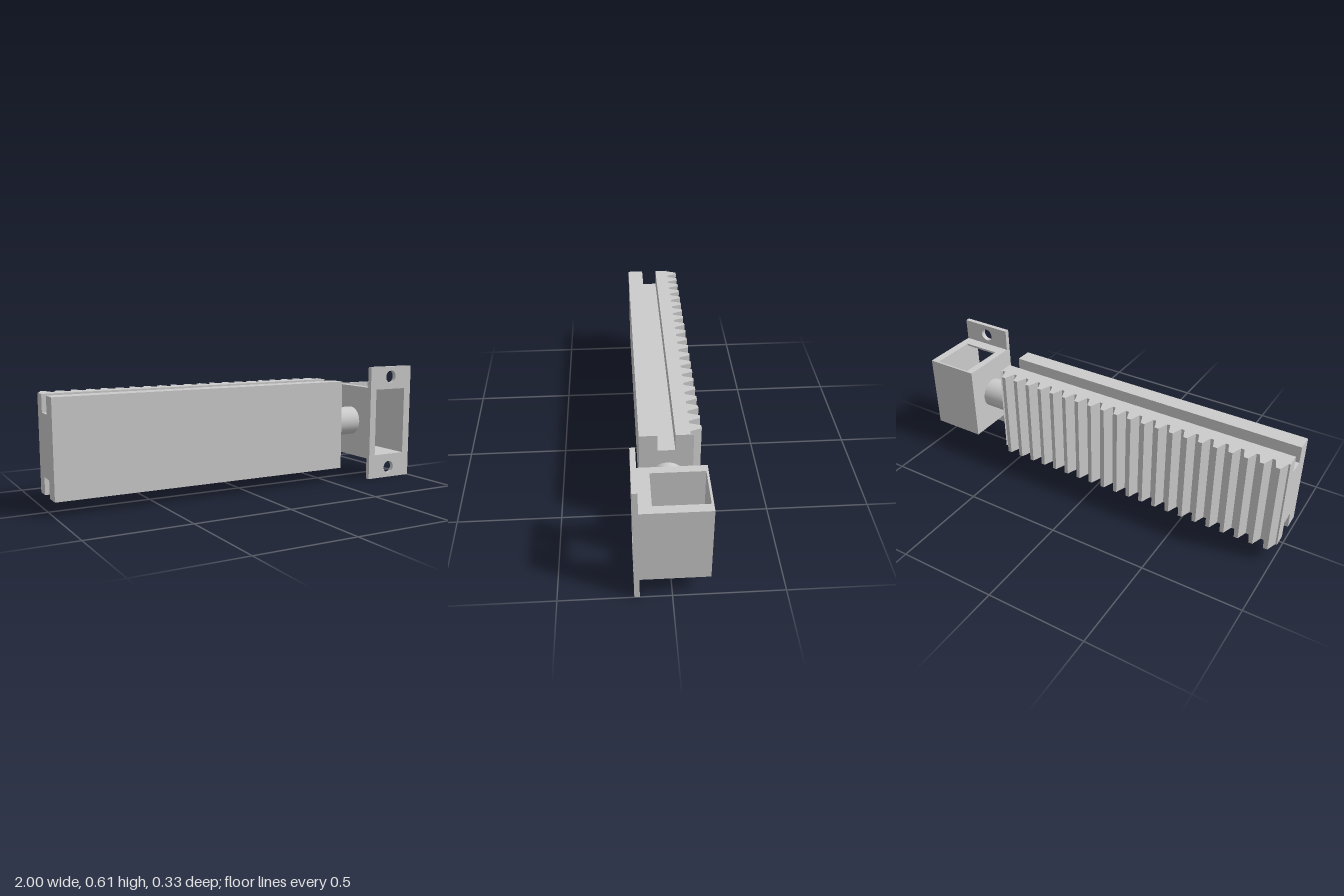
import * as THREE from 'three';

const material = new THREE.MeshStandardMaterial({ color: 0xcccccc, flatShading: true });
const smooth = new THREE.MeshStandardMaterial({ color: 0xcccccc });

function add(parent, name, geometry, mat = material) {
  const mesh = new THREE.Mesh(geometry, mat);
  mesh.name = name;
  parent.add(mesh);
  return mesh;
}

// Box given by its lower and upper limits on each axis
function block(parent, name, [x0, x1], [y0, y1], [z0, z1]) {
  const mesh = add(parent, name, new THREE.BoxGeometry(x1 - x0, y1 - y0, z1 - z0));
  mesh.position.set((x0 + x1) / 2, (y0 + y1) / 2, (z0 + z1) / 2);
}

const rectangle = (x0, x1, y0, y1) =>
  [[x0, y0], [x1, y0], [x1, y1], [x0, y1]].map(p => new THREE.Vector2(...p));

export function createModel() {
  const model = new THREE.Group();
  const midY = 0.307, left = -1, right = 0.565;
  const low = 0.072, high = 0.541;

  // Rack: two flanges joined by a web, leaving a groove above and below
  const rack = new THREE.Group();
  rack.name = 'rack';
  model.add(rack);
  block(rack, 'frontFlange', [left, right], [low, high], [0.04, 0.122]);
  block(rack, 'web', [left, right], [low + 0.085, high - 0.085], [-0.04, 0.04]);

  // Toothed flange, outlined from above (shape y is -z), with a cut-off tooth at the end
  const root = 0.107, tip = 0.16, pitch = 0.0738;
  const outline = new THREE.Shape();
  outline.moveTo(right, 0.04);
  outline.lineTo(left, 0.04);
  outline.lineTo(left, root);
  for (let i = 0; i < 21; i++) {
    const x = -0.963 + i * pitch;
    outline.lineTo(x - 0.029, root);
    outline.lineTo(x - 0.01, tip);
    outline.lineTo(x + 0.01, tip);
    outline.lineTo(x + 0.029, root);
  }
  outline.lineTo(right - 0.006, root);
  outline.lineTo(right, 0.122);
  outline.closePath();
  const teeth = add(rack, 'toothedFlange',
    new THREE.ExtrudeGeometry(outline, { depth: high - low, bevelEnabled: false }));
  teeth.rotation.x = -Math.PI / 2;
  teeth.position.y = low;

  // Round shaft between rack and housing
  const shaft = add(model, 'shaft', new THREE.CylinderGeometry(0.077, 0.077, 0.164, 48), smooth);
  shaft.rotation.z = Math.PI / 2;
  shaft.position.set(0.646, midY, -0.005);

  // Housing: closed floor, open top, framed front window
  const housing = new THREE.Group();
  housing.name = 'housing';
  model.add(housing);
  const outer = [0.725, 1], inner = [0.763, 0.958];
  const bottom = 0.112, top = 0.502, back = -0.165, face = 0.142;
  block(housing, 'floor', outer, [bottom, 0.13], [back, face]);
  block(housing, 'rightWall', [outer[0], inner[0]], [0.13, top], [back, face]);
  block(housing, 'leftWall', [inner[1], outer[1]], [0.13, top], [back, face]);
  block(housing, 'backWall', inner, [0.13, top], [back, -0.155]);
  block(housing, 'windowLintel', inner, [0.491, top], [0.085, face]);

  // Mounting plate with window and two screw holes
  const plate = new THREE.Shape(rectangle(outer[0], outer[1], 0, 0.614));
  plate.holes.push(new THREE.Path(rectangle(inner[0], inner[1], 0.13, 0.491)));
  for (const y of [0.056, 0.558]) {
    plate.holes.push(new THREE.Path().absarc(0.861, y, 0.033, 0, Math.PI * 2, true));
  }
  const mount = add(housing, 'mountingPlate',
    new THREE.ExtrudeGeometry(plate, { depth: 0.024, bevelEnabled: false, curveSegments: 32 }));
  mount.position.z = face;

  return model;
}
